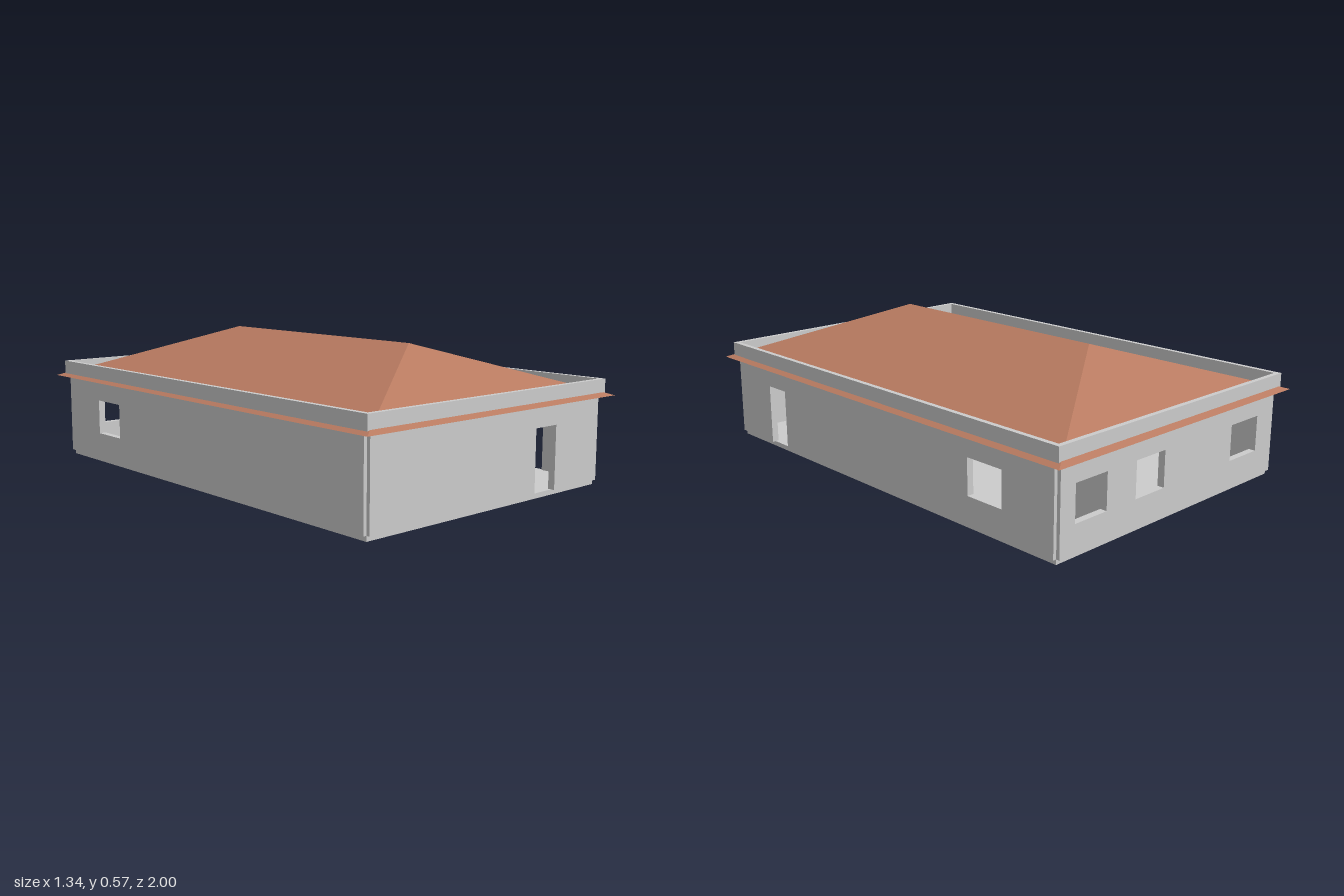
import * as THREE from 'three';

const FLOOR = 0.02, HEAD = 0.27, SILL = 0.127, WALL_TOP = 0.362;
const THICK = 0.028;
const HX = 0.616, HZ = 0.946; // wall centre lines

export function createModel() {
  const house = new THREE.Group();
  house.name = 'house';
  const grey = new THREE.MeshStandardMaterial({ color: 0xcccccc });
  const tile = new THREE.MeshStandardMaterial({ color: 0xb87a60, flatShading: true, side: THREE.DoubleSide });

  function add(name, geometry, material = grey) {
    const mesh = new THREE.Mesh(geometry, material);
    mesh.name = name;
    house.add(mesh);
    return mesh;
  }

  function box(name, x0, x1, y0, y1, z0, z1) {
    const mesh = add(name, new THREE.BoxGeometry(x1 - x0, y1 - y0, z1 - z0));
    mesh.position.set((x0 + x1) / 2, (y0 + y1) / 2, (z0 + z1) / 2);
    return mesh;
  }

  // Wall panel: doors notch the bottom edge, windows are holes
  function wall(name, start, end, { doors = [], windows = [] }) {
    const shape = new THREE.Shape();
    shape.moveTo(start, FLOOR);
    for (const [a, b] of doors) {
      shape.lineTo(a, FLOOR);
      shape.lineTo(a, HEAD);
      shape.lineTo(b, HEAD);
      shape.lineTo(b, FLOOR);
    }
    shape.lineTo(end, FLOOR);
    shape.lineTo(end, WALL_TOP);
    shape.lineTo(start, WALL_TOP);
    shape.closePath();
    for (const [a, b] of windows) {
      const hole = new THREE.Path();
      hole.moveTo(a, SILL);
      hole.lineTo(a, HEAD);
      hole.lineTo(b, HEAD);
      hole.lineTo(b, SILL);
      hole.closePath();
      shape.holes.push(hole);
    }
    const geometry = new THREE.ExtrudeGeometry(shape, { depth: THICK, bevelEnabled: false });
    geometry.translate(0, 0, -THICK / 2);
    return add(name, geometry);
  }

  // Floor slab
  box('floorSlab', -HX, HX, 0, FLOOR, -HZ, HZ);

  // Outer walls; the corners stay notched where the panels meet
  wall('frontWall', -HX, HX, { doors: [[0.23, 0.35]] }).position.z = HZ;
  wall('backWall', -HX, HX, {
    windows: [[0.385, 0.543], [0.073, 0.231], [-0.508, -0.335]],
  }).position.z = -HZ;

  // Side walls: along the panel, positive runs toward the back
  const leftWall = wall('leftWall', -HZ, HZ, { doors: [[-0.713, -0.597]], windows: [[0.535, 0.705]] });
  leftWall.rotation.y = Math.PI / 2;
  leftWall.position.x = HX;
  const rightWall = wall('rightWall', -HZ, HZ, { windows: [[0.533, 0.7]] });
  rightWall.rotation.y = Math.PI / 2;
  rightWall.position.x = -HX;

  // Inner partition with a doorway, and the ceiling over the rooms
  const partition = wall('partition', 0.4, HZ, { doors: [[0.565, 0.675]] });
  partition.rotation.y = Math.PI / 2;
  partition.position.x = 0.305;
  box('ceiling', -0.1, HX, 0.34, 0.354, -HZ, HZ);

  // Hip roof: eave corners and the two ridge ends
  const ex = 0.668, ez = 1, eave = 0.355, ridge = 0.567, rz = 0.53;
  const A = [-ex, eave, ez], B = [ex, eave, ez], C = [ex, eave, -ez], D = [-ex, eave, -ez];
  const F = [0, ridge, rz], K = [0, ridge, -rz];
  const faces = [A, B, F, C, D, K, B, C, K, B, K, F, D, A, F, D, F, K];
  const roof = new THREE.BufferGeometry();
  roof.setAttribute('position', new THREE.Float32BufferAttribute(faces.flat(), 3));
  roof.computeVertexNormals();
  add('hipRoof', roof, tile);

  // Parapet rising through the roof along the wall line
  const px = 0.64, pz = 0.972, rim = 0.02;
  const y0 = 0.358, y1 = 0.42;
  for (const s of [-1, 1]) {
    const z = s * (pz - rim / 2), x = s * (px - rim / 2);
    box(s > 0 ? 'frontParapet' : 'backParapet', -px, px, y0, y1, z - rim / 2, z + rim / 2);
    box(s > 0 ? 'leftParapet' : 'rightParapet', x - rim / 2, x + rim / 2, y0, y1, -pz + rim, pz - rim);
  }

  return house;
}
